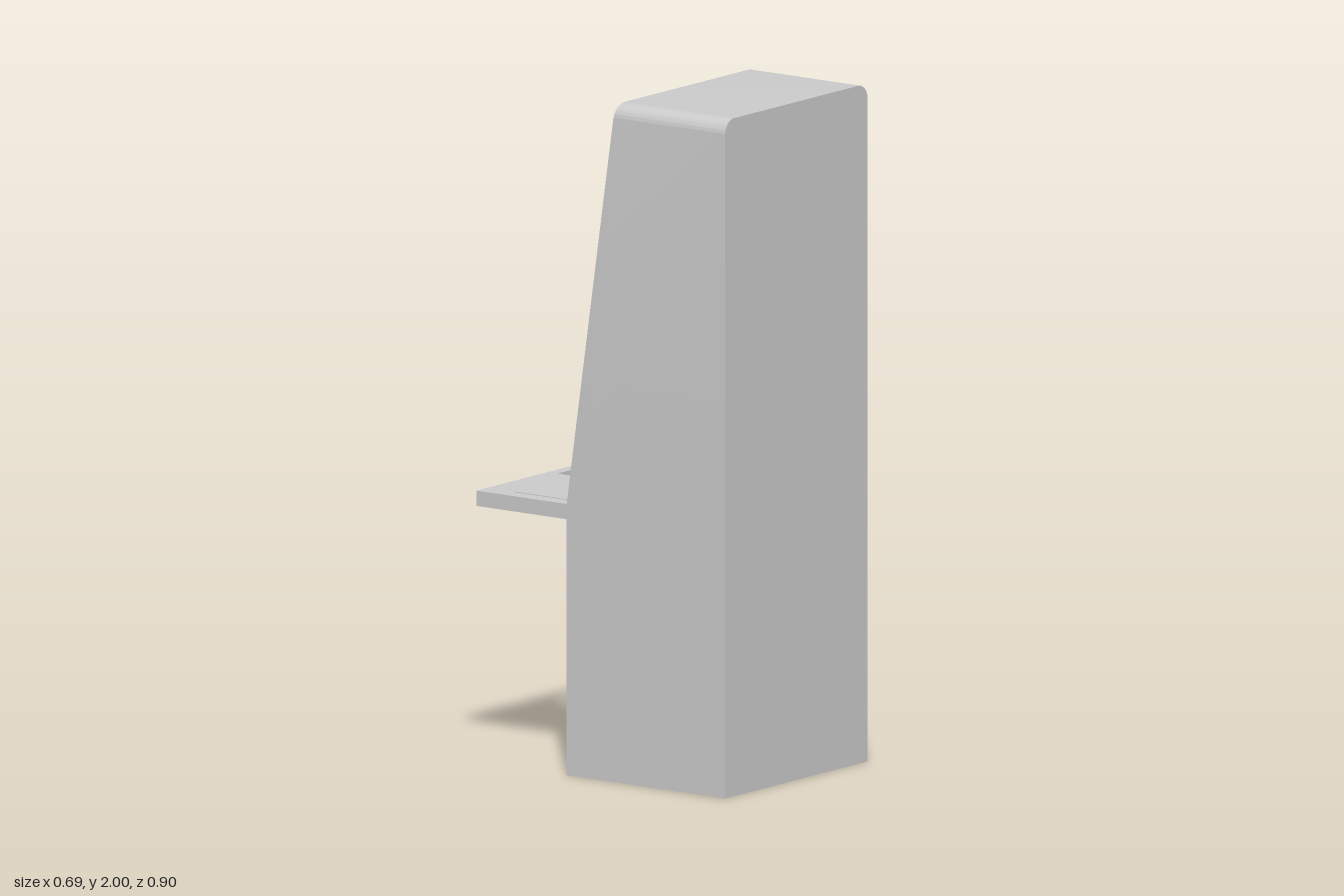
import * as THREE from 'three';
import { toCreasedNormals } from 'three/addons/utils/BufferGeometryUtils.js';

const W = 0.343, BACK = 0.45, FACE = -0.123, WAIST = 0.8, SLOPE = 0.146;
const grey = new THREE.MeshStandardMaterial({ color: 0xcccccc });
const sheet = new THREE.MeshStandardMaterial({ color: 0xcccccc, side: THREE.DoubleSide });

// depth of the user-side face at height y: upright below the waist, leaning above
const faceZ = (y) => FACE + Math.max(0, y - WAIST) * SLOPE;

// rectangle with separate radii for the bottom and top corners
function rect(x0, x1, y0, y1, rBottom = 0, rTop = rBottom, Type = THREE.Shape) {
  const s = new Type();
  s.moveTo(x0 + rBottom, y0);
  s.lineTo(x1 - rBottom, y0);
  if (rBottom) s.absarc(x1 - rBottom, y0 + rBottom, rBottom, -Math.PI / 2, 0);
  s.lineTo(x1, y1 - rTop);
  if (rTop) s.absarc(x1 - rTop, y1 - rTop, rTop, 0, Math.PI / 2);
  s.lineTo(x0 + rTop, y1);
  if (rTop) s.absarc(x0 + rTop, y1 - rTop, rTop, Math.PI / 2, Math.PI);
  s.lineTo(x0, y0 + rBottom);
  if (rBottom) s.absarc(x0 + rBottom, y0 + rBottom, rBottom, Math.PI, Math.PI * 1.5);
  return s;
}

export function createModel() {
  const group = new THREE.Group();
  group.name = 'kiosk';

  const add = (name, geometry, material = grey) => {
    const mesh = new THREE.Mesh(geometry, material);
    mesh.name = name;
    group.add(mesh);
    return mesh;
  };

  // slab following the face, from depth d0 to d1 (or to the flat back wall)
  const layer = (name, shape, hole, d0, d1) => {
    if (hole) shape.holes.push(hole);
    const geo = new THREE.ExtrudeGeometry(shape, { depth: 1, bevelEnabled: false, curveSegments: 10 });
    const p = geo.attributes.position;
    for (let i = 0; i < p.count; i++) {
      const front = faceZ(p.getY(i));
      p.setZ(i, p.getZ(i) < 0.5 ? front + d0 : d1 === undefined ? BACK : front + d1);
    }
    add(name, toCreasedNormals(geo, 0.6));
  };

  // cabinet: stepped recesses for the panel, the screen and the lower door
  const upper = () => rect(-W, W, WAIST, 2, 0, 0.045);
  const lower = () => rect(-W, W, 0, WAIST);
  layer('upperFrame', upper(), rect(-0.3, 0.295, 0.815, 1.94, 0.012, 0.02, THREE.Path), 0, 0.015);
  layer('frontPanel', upper(), rect(-0.24, 0.237, 1.04, 1.87, 0, 0, THREE.Path), 0.015, 0.03);
  layer('upperCabinetAndScreen', upper(), null, 0.03);
  layer('lowerFrame', lower(), rect(-0.225, 0.2, 0.11, 0.68, 0, 0, THREE.Path), 0, 0.015);
  layer('lowerCabinetAndDoor', lower(), null, 0.015);

  // shelf: solid on one half, an open loop on the other
  const s = new THREE.Shape();
  s.moveTo(-W, 0.12);
  s.lineTo(0, 0.12);
  s.lineTo(0, 0.415);
  s.lineTo(0.285, 0.415);
  s.absarc(0.285, 0.385, 0.03, Math.PI / 2, 0, true);
  s.lineTo(0.315, 0.12);
  s.lineTo(W, 0.12);
  s.lineTo(W, 0.42);
  s.absarc(W - 0.03, 0.42, 0.03, 0, Math.PI / 2);
  s.lineTo(-W, 0.45);
  const shelfGeo = new THREE.ExtrudeGeometry(s, { depth: 0.045, bevelEnabled: false, curveSegments: 8 });
  shelfGeo.rotateX(-Math.PI / 2);
  add('shelf', toCreasedNormals(shelfGeo, 0.6)).position.y = 0.755;
  add('keypad', new THREE.BoxGeometry(0.23, 0.006, 0.2)).position.set(-0.18, 0.799, -0.25);

  // small parts lying on the leaning panel, size and centre given along it
  const fitting = (name, x0, x1, y, h, proud) => {
    const m = add(name, new THREE.BoxGeometry(x1 - x0, h, proud * 2));
    m.position.set((x0 + x1) / 2, y, faceZ(y) + 0.015);
    m.rotation.x = Math.atan(SLOPE);
  };
  fitting('printerLip', -0.225, 0.195, 0.895, 0.014, 0.012);
  fitting('scanner', -0.295, -0.24, 0.955, 0.02, 0.01);
  fitting('cardReaderTop', 0.21, 0.27, 0.972, 0.014, 0.01);
  fitting('cardReaderSide', 0.255, 0.27, 0.945, 0.05, 0.01);

  // thin curved paper tongues: half width, y, z per row
  const rows = [[0.042, 0.885, -0.1], [0.038, 0.893, -0.118], [0.029, 0.915, -0.14], [0.022, 0.915, -0.155], [0.019, 0.908, -0.178]];
  for (const x of [-0.173, 0.145]) {
    const geo = new THREE.PlaneGeometry(2, 1, 1, rows.length - 1);
    const p = geo.attributes.position;
    for (let i = 0; i < p.count; i++) {
      const [w, y, z] = rows[Math.floor(i / 2)];
      p.setXYZ(i, p.getX(i) * w, y, z);
    }
    geo.computeVertexNormals();
    add('paperTongue', geo, sheet).position.x = x;
  }
  return group;
}
